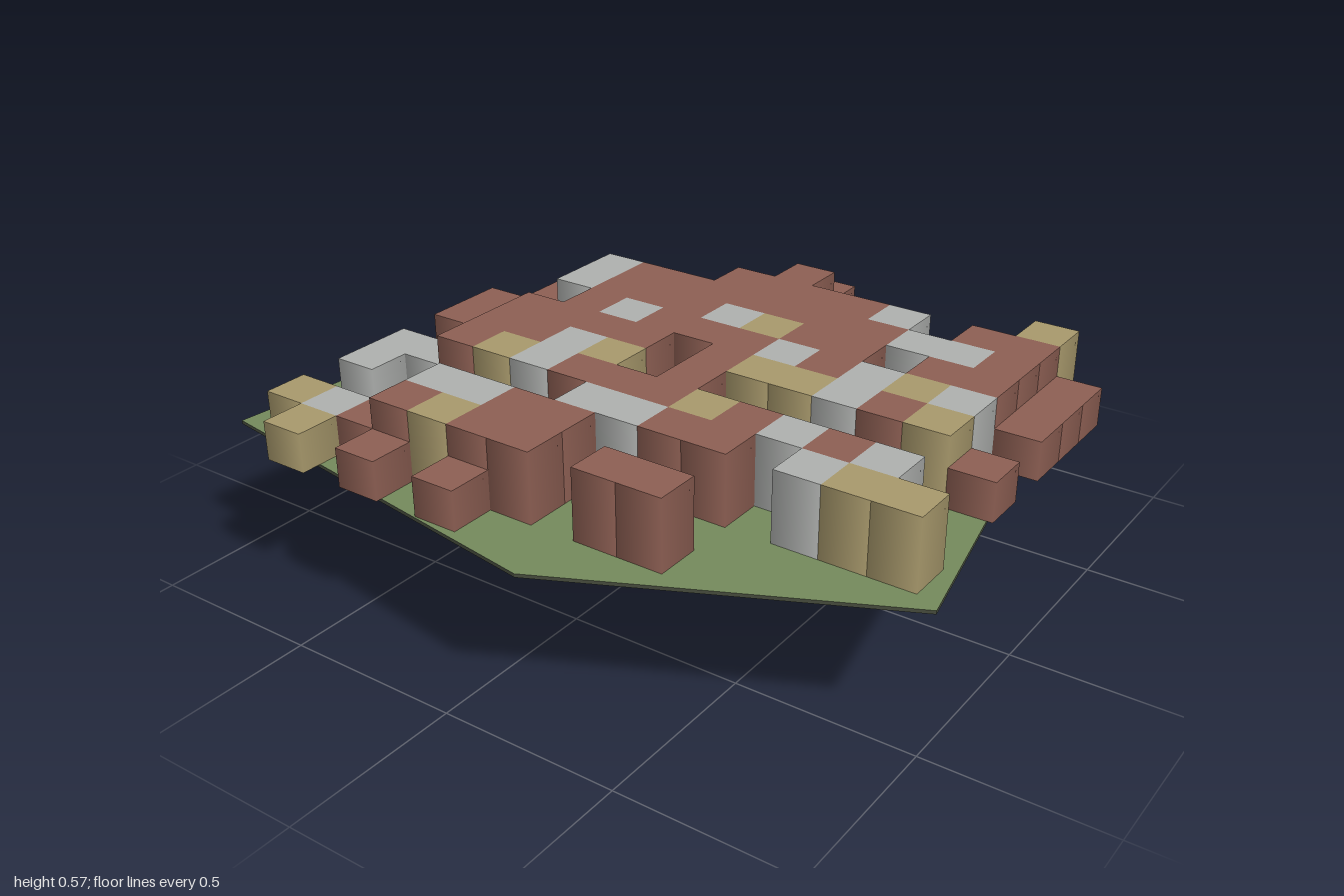
import * as THREE from 'three';

const CELL = 0.1305, GROUND = 0.375;
const mat = (color, extra = {}) => new THREE.MeshStandardMaterial({ color, ...extra });

// Town plan, back row first: b brick, g grey, t tan; capitals are tall blocks
const PLAN = [
  '......b.......',
  '......B.....T.',
  '.....BBBBG.BBb',
  '.bGBBBBBBBGGBb',
  '.bGBBBGTBB.BBb',
  'bggBGBBBGBGTG.',
  'bbBBBB.BTTGBTb',
  '.bBBGT.B......',
  'ggBTGBBBTBGBG.',
  'g.....GGBB.GTT',
  '..bGGBB.......',
  'tgbBTBB.BB....',
  '.t.b.b........',
];

// Outline of the ground, clockwise seen from above (x, z)
const RIM = [[-0.355, -0.865], [0.74, -0.855], [1, 0.455], [0.13, 0.875], [-1, 0.695], [-0.89, -0.38]];
// Low points of the rock (x, y, z)
const KEEL = [[-0.22, 0, -0.09], [0.55, 0.05, -0.09], [0.15, 0.08, 0.3], [-0.615, 0.088, 0.27]];

function buildGround() {
  const shape = new THREE.Shape(RIM.map(([x, z]) => new THREE.Vector2(x, -z)));
  const geo = new THREE.ExtrudeGeometry(shape, { depth: 0.01, bevelEnabled: false });
  geo.rotateX(-Math.PI / 2).translate(0, GROUND - 0.01, 0);
  const mesh = new THREE.Mesh(geo, [mat(0x748a5c), mat(0x4a5040)]);
  mesh.name = 'grassSlab';
  return mesh;
}

function buildRock() {
  const points = [...RIM.map(([x, z]) => [x, GROUND - 0.01, z]), ...KEEL];
  const [B, C, D, A] = [6, 7, 8, 9];
  const geo = new THREE.BufferGeometry();
  geo.setAttribute('position', new THREE.Float32BufferAttribute(points.flat(), 3));
  geo.setIndex([
    0, 1, B, 1, C, B, 1, 2, C, 2, D, C, 2, 3, D, 3, A, D,
    3, 4, A, 4, 5, A, 5, B, A, 5, 0, B, B, C, D, B, D, A,
  ]);
  geo.computeVertexNormals();
  const mesh = new THREE.Mesh(geo, mat(0x4c4a44));
  mesh.name = 'rockUnderside';
  return mesh;
}

// Four-sided prisms with softly shaded walls and flat roofs
function buildTown() {
  const town = new THREE.Group();
  town.name = 'town';
  const kinds = {
    b: ['brickBlock', mat(0x8d5f53)],
    g: ['greyBlock', mat(0xaeb0ae)],
    t: ['tanBlock', mat(0xa8996c)],
  };
  const prism = new THREE.CylinderGeometry(Math.SQRT1_2, Math.SQRT1_2, 1, 4);
  prism.rotateY(Math.PI / 4).translate(0, 0.5, 0);
  PLAN.forEach((row, r) => [...row].forEach((key, c) => {
    if (key === '.') return;
    const kind = key.toLowerCase();
    const [name, material] = kinds[kind];
    const block = new THREE.Mesh(prism, material);
    block.name = name;
    block.scale.set(CELL, key === kind ? 0.112 : 0.2, CELL);
    block.position.set(-0.895 + CELL * (c + 0.5), GROUND, -0.885 + CELL * (r + 0.5));
    town.add(block);
  }));
  return town;
}

export function createModel() {
  const model = new THREE.Group();
  model.name = 'floatingTown';
  model.add(buildGround(), buildRock(), buildTown());
  return model;
}
